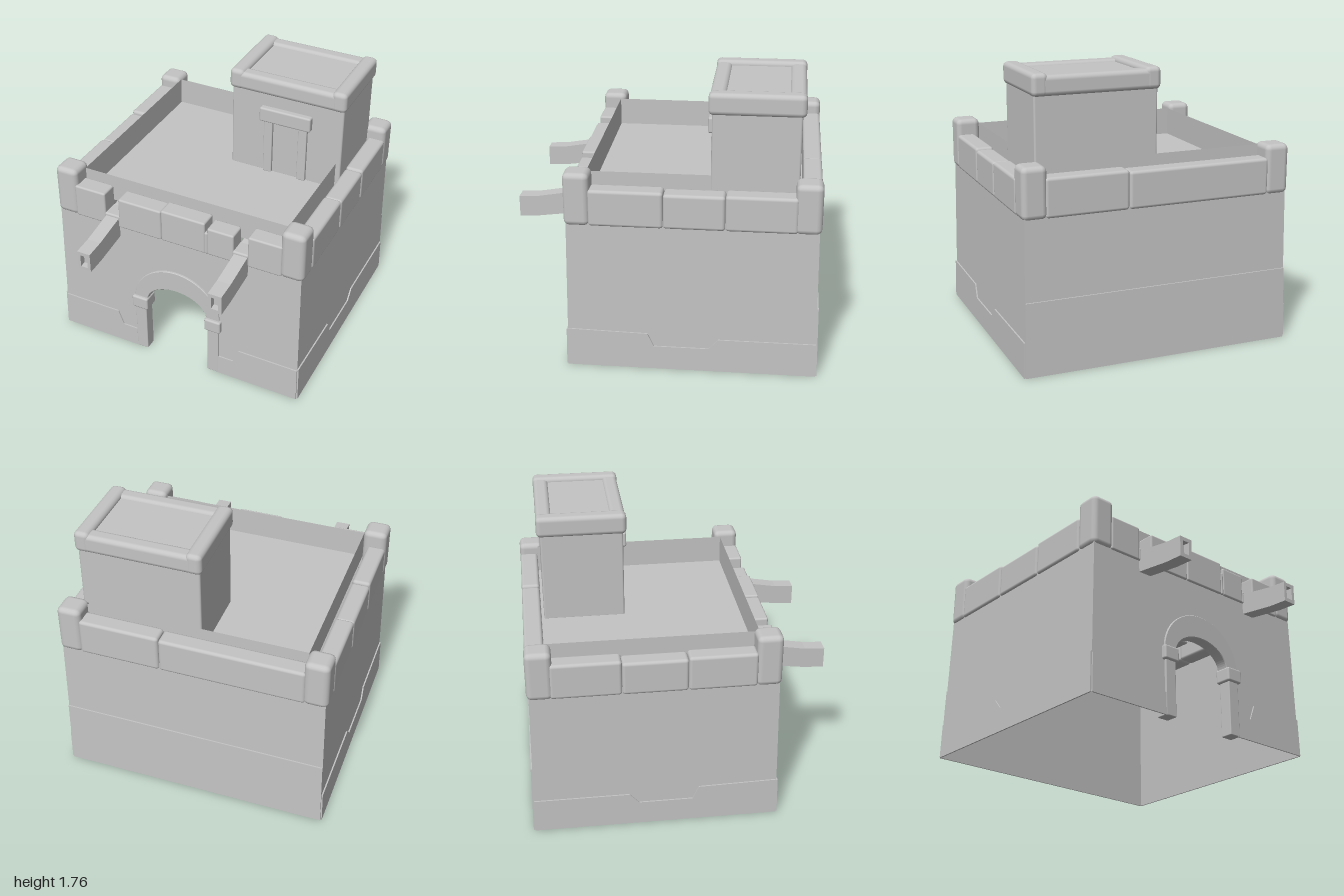
import * as THREE from 'three';
import { RoundedBoxGeometry } from 'three/addons/geometries/RoundedBoxGeometry.js';

const HW = 0.86, HD = 0.77, LEAN = 0.014; // half width, half depth, inward lean per unit of height

export function createModel() {
  const stone = new THREE.MeshStandardMaterial({ color: 0xc4c4c4, side: THREE.DoubleSide });
  stone.name = 'grey stone';
  const model = new THREE.Group();
  model.name = 'fort';
  const fort = new THREE.Group();
  fort.name = 'fortBody';
  fort.position.z = -0.157;
  fort.rotation.y = 0.086;
  model.add(fort);

  const add = (name, geo, x = 0, y = 0, z = 0, parent = fort) => {
    const m = new THREE.Mesh(geo, stone);
    m.name = name;
    m.position.set(x, y, z);
    parent.add(m);
    return m;
  };
  // rounded block given by its min and max corners
  const block = (name, x0, x1, y0, y1, z0, z1, r = 0.015, parent = fort) =>
    add(name, new RoundedBoxGeometry(x1 - x0, y1 - y0, z1 - z0, 2, r),
      (x0 + x1) / 2, (y0 + y1) / 2, (z0 + z1) / 2, parent);
  const poly = (pts) => new THREE.Shape(pts.map((p) => new THREE.Vector2(...p)));

  // leaning wall panel on side k: 0 front, 1 right hand (+x), 2 back, 3 (-x)
  const panel = (name, shape, k, depth = 0) => {
    const half = k % 2 ? HD : HW, out = k % 2 ? HW : HD;
    const geo = depth
      ? new THREE.ExtrudeGeometry(shape, { depth, bevelEnabled: false })
      : new THREE.ShapeGeometry(shape, 24);
    const p = geo.attributes.position;
    for (let i = 0; i < p.count; i++) {
      const y = p.getY(i);
      p.setX(i, p.getX(i) * (half - LEAN * y) / half);
      p.setZ(i, p.getZ(i) + out - LEAN * y);
    }
    geo.rotateY(k * Math.PI / 2);
    geo.computeVertexNormals();
    add(name, geo);
  };

  // main walls, the front one cut by the doorway
  const TOP = 1.0;
  const front = poly([[-HW, 0], [-0.23, 0], [-0.23, 0.42]]);
  front.absellipse(0, 0.42, 0.23, 0.16, Math.PI, 0, true);
  [[0.23, 0], [HW, 0], [HW, TOP], [-HW, TOP]].forEach((p) => front.lineTo(...p));
  panel('frontWall', front, 0);
  for (const k of [1, 2, 3]) {
    const h = k % 2 ? HD : HW;
    panel(['', 'leftWall', 'backWall', 'rightWall'][k], poly([[-h, 0], [h, 0], [h, TOP], [-h, TOP]]), k);
  }

  // stepped plinths
  const T = 0.009;
  for (const s of [-1, 1]) {
    panel('frontPlinth', poly([[s * HW, 0], [s * HW, 0.24], [s * 0.45, 0.24],
      [s * 0.41, 0.14], [s * 0.29, 0.14], [s * 0.29, 0]]), 0, T);
    panel('sidePlinth', poly([[-s * HD, 0], [-s * HD, 0.25], [-s * 0.27, 0.24], [-s * 0.23, 0.155],
      [s * 0.11, 0.155], [s * 0.17, 0.22], [s * HD, 0.22], [s * HD, 0]]), s > 0 ? 1 : 3, T);
  }
  panel('backPlinth', poly([[-HW, 0], [HW, 0], [HW, 0.46], [-HW, 0.46]]), 2, T);

  // doorway: jambs, capitals and arch
  for (const s of [-1, 1]) {
    const x = s * 0.265;
    block('doorJamb', x - 0.04, x + 0.04, 0, 0.38, 0.7, 0.78, 0.006);
    block('doorCapital', x - 0.057, x + 0.057, 0.35, 0.44, 0.685, 0.795, 0.012);
  }
  const arch = new THREE.Shape();
  arch.absellipse(0, 0.42, 0.305, 0.295, 0, Math.PI, false);
  arch.absellipse(0, 0.42, 0.22, 0.155, Math.PI, 0, true);
  add('doorArch', new THREE.ExtrudeGeometry(arch, {
    depth: 0.07, bevelThickness: 0.004, bevelSize: 0.004, bevelSegments: 1, curveSegments: 20,
  }), 0, 0, 0.7);

  // corner posts of the parapet
  for (const sx of [-1, 1]) for (const sz of [-1, 1]) {
    const x = sx * 0.783, z = sz * 0.69, top = sz > 0 ? 1.28 : 1.26;
    block('cornerPost', x - 0.078, x + 0.078, 0.945, top, z - 0.08, z + 0.08, 0.035);
  }

  // parapet stones: start, end and top along each side
  const frontStones = [[-0.72, -0.5, 1.175], [-0.51, -0.395, 1.035], [-0.405, -0.1, 1.165],
    [-0.1, 0.205, 1.175], [0.2, 0.225, 1.11], [0.22, 0.4, 1.145], [0.39, 0.5, 1.035], [0.495, 0.72, 1.17]];
  const backStones = [[-0.72, 0.2, 1.18], [0.2, 0.72, 1.19]];
  const leftStones = [[-0.63, -0.2, 1.175], [-0.2, 0.17, 1.17], [0.17, 0.62, 1.18]];
  const rightStones = [[-0.63, -0.2, 1.18], [-0.2, 0.2, 1.165], [0.2, 0.62, 1.175]];
  for (const [a, b, t] of frontStones) block('frontParapet', a, b, 0.95, t, 0.65, 0.768, 0.012);
  for (const [a, b, t] of backStones) block('backParapet', a, b, 0.95, t, -0.768, -0.65, 0.02);
  for (const [a, b, t] of leftStones) block('leftParapet', 0.742, 0.86, 0.95, t, a, b, 0.02);
  for (const [a, b, t] of rightStones) block('rightParapet', -0.86, -0.742, 0.95, t, a, b, 0.02);

  // sunken roof deck with a thin upright rim
  const RW = 0.705, RD = 0.648, FLOOR = 1.06, RIM = 1.245;
  add('roofDeck', new THREE.PlaneGeometry(RW * 2, RD * 2).rotateX(-Math.PI / 2), 0, FLOOR, 0);
  for (let k = 0; k < 4; k++) {
    const w = k % 2 ? RD : RW, o = k % 2 ? RW : RD;
    const rim = new THREE.PlaneGeometry(w * 2, RIM - FLOOR);
    rim.translate(0, (RIM + FLOOR) / 2, o).rotateY(k * Math.PI / 2);
    add('roofRim', rim);
  }

  // two hollow spouts sloping down and outwards
  const rect = (C, w, h) => {
    const c = new C();
    c.moveTo(-w, -h);
    [[w, -h], [w, h], [-w, h], [-w, -h]].forEach((p) => c.lineTo(...p));
    return c;
  };
  for (const x of [-0.45, 0.45]) {
    const shape = rect(THREE.Shape, 0.045, 0.066);
    shape.holes.push(rect(THREE.Path, 0.024, 0.042));
    const tube = new THREE.ExtrudeGeometry(shape, { depth: 0.5, steps: 4, bevelEnabled: false });
    const plug = new THREE.BoxGeometry(0.05, 0.086, 0.46).translate(0, 0, 0.23);
    for (const g of [tube, plug]) {
      const p = g.attributes.position;
      for (let i = 0; i < p.count; i++) {
        const t = Math.max(0, 0.42 - p.getZ(i));
        p.setY(i, p.getY(i) * (1 + 0.3 * t) + 0.15 * t);
      }
      g.computeVertexNormals();
    }
    add('spout', tube, x, 0.905, 0.62);
    add('spoutChannel', plug, x, 0.905, 0.62);
  }

  // rooftop tower
  const tower = new THREE.Group();
  tower.name = 'tower';
  tower.position.set(0.353, 0, -0.369);
  fort.add(tower);
  block('towerWalls', -0.385, 0.385, FLOOR - 0.01, 1.7, -0.262, 0.262, 0.012, tower);
  // cap made of four rounded edge stones around a sunken panel
  for (const s of [-1, 1]) {
    block('towerCapEnd', s * 0.35 - 0.05, s * 0.35 + 0.05, 1.63, 1.765, -0.285, 0.285, 0.03, tower);
    block('towerCapSide', -0.385, 0.385, 1.63, 1.752, s * 0.233 - 0.05, s * 0.233 + 0.05, 0.03, tower);
  }
  block('towerCapPanel', -0.33, 0.33, 1.64, 1.735, -0.21, 0.21, 0.005, tower);
  // tower door frame
  for (const s of [-1, 1]) {
    block('towerDoorPost', s * 0.12 - 0.03, s * 0.12 + 0.03, FLOOR, 1.46, 0.24, 0.282, 0.006, tower);
  }
  block('towerDoorLintel', -0.177, 0.177, 1.445, 1.545, 0.24, 0.3, 0.012, tower);

  return model;
}
